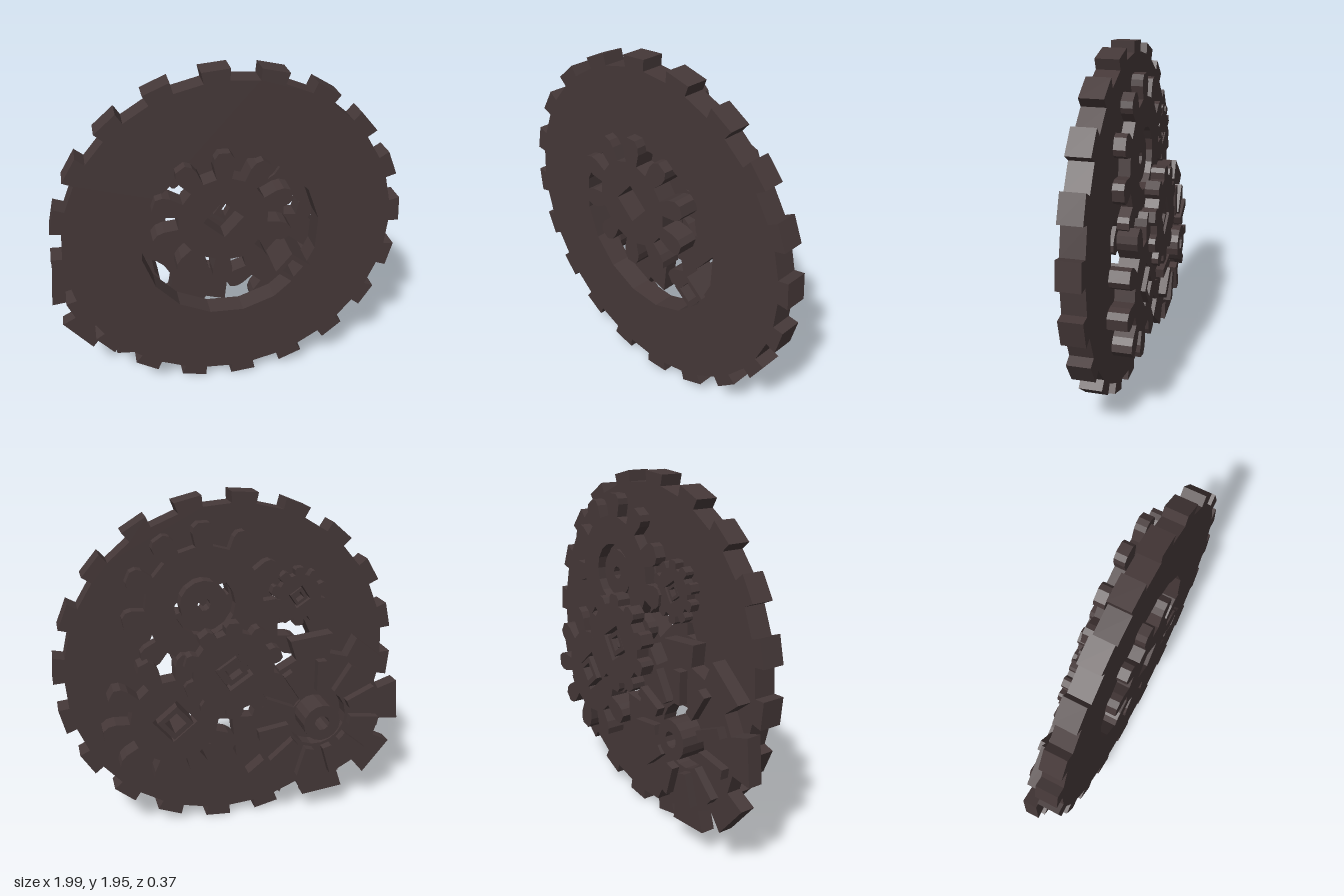
import * as THREE from 'three';

const iron = new THREE.MeshStandardMaterial({ color: 0x453838 });
iron.name = 'dark iron';

// Closed outline of n points, optionally turned
function polygon(radius, sides, turn = 0) {
  const pts = [];
  for (let i = 0; i < sides; i++) {
    const a = turn + (i / sides) * Math.PI * 2;
    pts.push(new THREE.Vector2(radius * Math.cos(a), radius * Math.sin(a)));
  }
  return pts;
}

// Toothed outline: each tooth is a list of [radius, half width], root to tip
function gearOutline(count, startDeg, tooth) {
  const pts = [];
  const sides = [...tooth.map(([r, w]) => [r, -w]), ...tooth.slice().reverse()];
  for (let i = 0; i < count; i++) {
    const a = THREE.MathUtils.degToRad(startDeg) + (i / count) * Math.PI * 2;
    for (const [r, w] of sides) {
      const t = a + Math.asin(w / r);
      pts.push(new THREE.Vector2(r * Math.cos(t), r * Math.sin(t)));
    }
  }
  return pts;
}

// Flat plate between two z values, with an optional hole
function plate(name, outline, hole, zBack, zFront) {
  const shape = new THREE.Shape(outline);
  if (hole) shape.holes.push(new THREE.Path(hole));
  const geo = new THREE.ExtrudeGeometry(shape, { depth: zFront - zBack, bevelEnabled: false });
  geo.translate(0, 0, zBack);
  const mesh = new THREE.Mesh(geo, iron);
  mesh.name = name;
  return mesh;
}

function assembly(name, x, y, ...parts) {
  const g = new THREE.Group();
  g.name = name;
  g.position.set(x, y, 0);
  g.add(...parts);
  return g;
}

export function createModel() {
  const model = new THREE.Group();
  model.name = 'gearCluster';

  // Large outer ring with square teeth
  model.add(assembly('mainRing', 0.025, 0.975,
    plate('ringBody', gearOutline(20, 94.7, [[0.915, 0.066], [0.975, 0.074]]),
      polygon(0.5, 16, 0.15), 0, 0.125)));

  // Front gear with long rounded teeth and a square bore
  const longTooth = [[0.245, 0.04], [0.32, 0.055], [0.36, 0.052], [0.39, 0.03]];
  model.add(assembly('frontGear', -0.03, 1.14,
    plate('frontGearBody', gearOutline(10, 89, longTooth), polygon(0.11, 4, 0.05), 0.07, 0.182)));

  // Side gear on a long square shaft
  model.add(assembly('sideGear', 0.38, 0.75,
    plate('sideGearBody', gearOutline(10, -6, longTooth), polygon(0.125, 4, 0.1), -0.15, -0.045),
    plate('sideShaft', polygon(0.1, 4, 0.1), polygon(0.06, 4, 0.1), -0.17, 0.155)));

  // Upper gear with round hub
  model.add(assembly('upperGear', 0.19, 1.38,
    plate('upperGearBody',
      gearOutline(11, 90, [[0.32, 0.045], [0.39, 0.06], [0.42, 0.055], [0.44, 0.03]]),
      polygon(0.165, 16), -0.1, -0.04),
    plate('upperHub', polygon(0.13, 16), polygon(0.035, 10), -0.075, 0)));

  // Centre gear at the back
  model.add(assembly('centreGear', 0.055, 1.02,
    plate('centreGearBody', gearOutline(10, 90, [[0.225, 0.045], [0.26, 0.045], [0.28, 0.028]]),
      polygon(0.11, 4, 0.2), -0.185, -0.11),
    plate('centreHub', polygon(0.085, 4, 0.2), polygon(0.05, 4, 0.2), -0.175, -0.11)));

  // Small gear at the back
  model.add(assembly('smallGear', -0.34, 1.38,
    plate('smallGearBody', gearOutline(10, 90, [[0.125, 0.026], [0.155, 0.028], [0.165, 0.018]]),
      polygon(0.065, 4, 0.2), -0.085, -0.035),
    plate('smallHub', polygon(0.052, 4, 0.2), polygon(0.03, 4, 0.2), -0.08, -0.03)));

  // Lower gear with broad teeth, round hub and raised ribs
  const lower = assembly('lowerGear', -0.47, 0.64,
    plate('lowerGearBody', gearOutline(8, 174, [[0.4, 0.1], [0.52, 0.125]]),
      polygon(0.175, 18), -0.1, -0.02),
    plate('lowerHub', polygon(0.11, 16), polygon(0.045, 10), -0.18, -0.02));
  const ribGeo = new THREE.BoxGeometry(0.18, 0.055, 0.05);
  ribGeo.translate(0.28, 0, -0.122);
  for (let i = 0; i < 11; i++) {
    const rib = new THREE.Mesh(ribGeo, iron);
    rib.name = 'lowerRib' + (i + 1);
    rib.rotation.z = (i / 11) * Math.PI * 2 + Math.PI / 2;
    lower.add(rib);
  }
  model.add(lower);

  return model;
}
